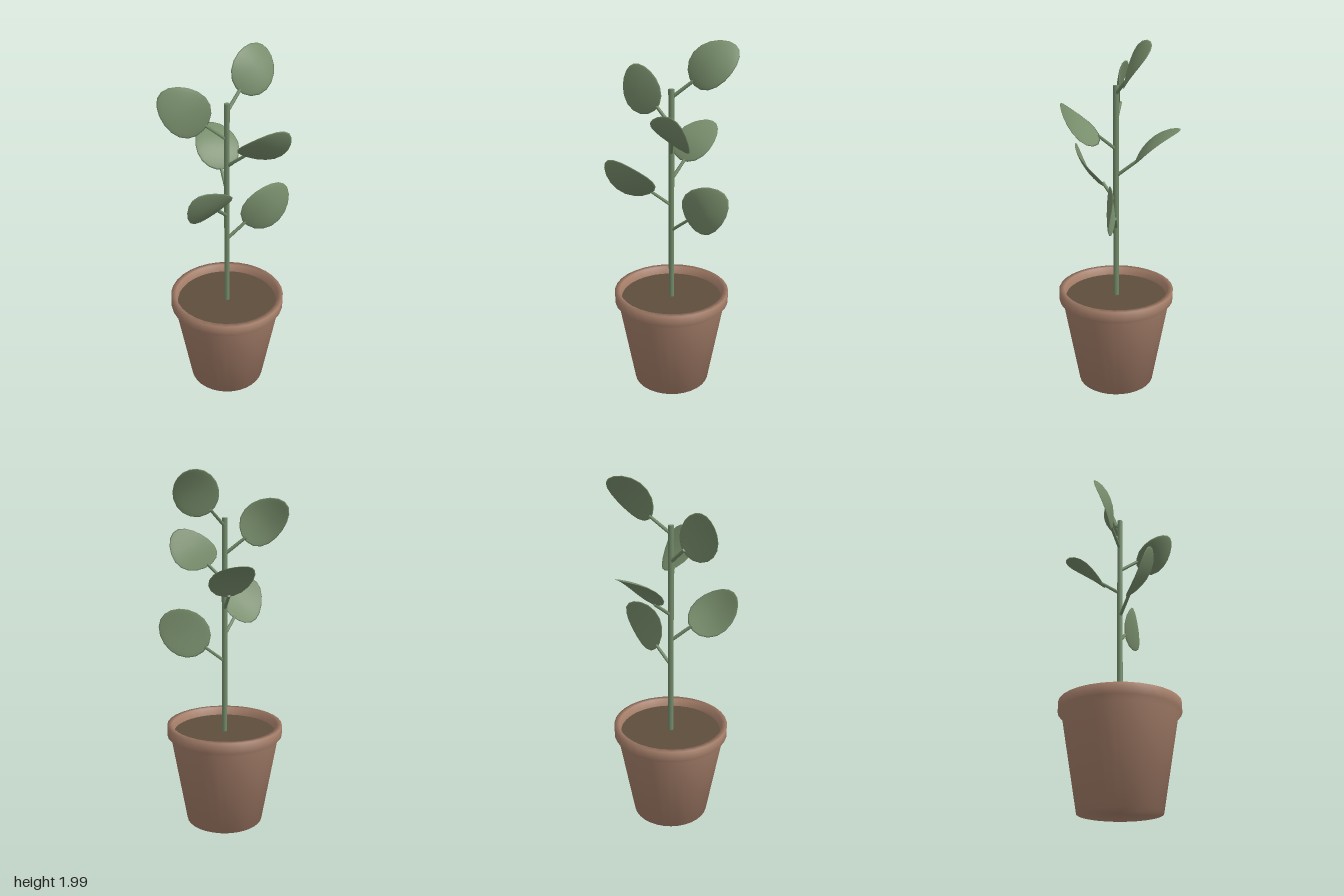
import * as THREE from 'three';
import { mergeVertices } from 'three/addons/utils/BufferGeometryUtils.js';

const mat = (name, color) => {
  const m = new THREE.MeshStandardMaterial({ color });
  m.name = name;
  return m;
};

// Thin egg-shaped blade, growing along +y from its base and arched along its length
function leafGeometry(halfLength, halfWidth) {
  let g = new THREE.SphereGeometry(1, 18, 10);
  g.rotateX(Math.PI / 2); // poles on z, so the equator is the leaf outline
  const p = g.attributes.position;
  for (let i = 0; i < p.count; i++) {
    const v = p.getX(i), t = p.getY(i), n = p.getZ(i);
    p.setXYZ(
      i,
      v * halfWidth * (1 - 0.14 * t),
      t * halfLength,
      n * 0.006 + 0.034 * (1 - t * t) - 0.005 * v * v
    );
  }
  g.deleteAttribute('uv');
  g.deleteAttribute('normal');
  g = mergeVertices(g, 1e-5);
  g.computeVertexNormals();
  return g;
}

export function createModel() {
  const terracotta = mat('terracotta', 0xa67f6a);
  const soilBrown = mat('soil brown', 0x5e4e3d);
  const stemGreen = mat('stem green', 0x728b69);
  const leafGreen = mat('leaf green', 0x778d6b);

  const root = new THREE.Group();
  root.name = 'pottedPlant';
  const plant = new THREE.Group();
  plant.name = 'plant';
  plant.position.set(-0.003, 0, 0.008);
  root.add(plant);

  const add = (parent, name, geometry, material, y = 0) => {
    const m = new THREE.Mesh(geometry, material);
    m.name = name;
    m.position.y = y;
    parent.add(m);
    return m;
  };

  // Pot with a thick rim
  const profile = [
    [0, 0], [0.22, 0], [0.307, 0.495], [0.33, 0.52],
    [0.33, 0.58], [0.3, 0.58], [0.288, 0.52],
  ].map(([x, y]) => new THREE.Vector2(x, y));
  add(plant, 'pot', new THREE.LatheGeometry(profile, 32), terracotta);

  // Soil disc
  add(plant, 'soil', new THREE.CylinderGeometry(0.293, 0.288, 0.02, 20), soilBrown, 0.525);

  // Main stem
  add(plant, 'stem', new THREE.CylinderGeometry(0.016, 0.016, 1.225, 8), stemGreen, 1.1325);

  // Six leaves spiralling up the stem by the golden angle
  const up = new THREE.Vector3(0, 1, 0);
  for (let i = 0; i < 6; i++) {
    const a = THREE.MathUtils.degToRad(137.5 * i);
    const dir = new THREE.Vector3(Math.cos(a), 0.77, Math.sin(a)).normalize();
    const branch = new THREE.Group();
    branch.name = `branch${i + 1}`;
    branch.position.y = 0.95 + 0.15 * i;
    branch.quaternion.setFromUnitVectors(up, dir);
    plant.add(branch);

    add(branch, 'leafStalk', new THREE.CylinderGeometry(0.009, 0.01, 0.145, 6), stemGreen, 0.0725);
    const s = 1.03 - 0.013 * i;
    add(branch, 'leaf', leafGeometry(0.153 * s, 0.124 * s), leafGreen, 0.132 + 0.153 * s);
  }
  return root;
}
